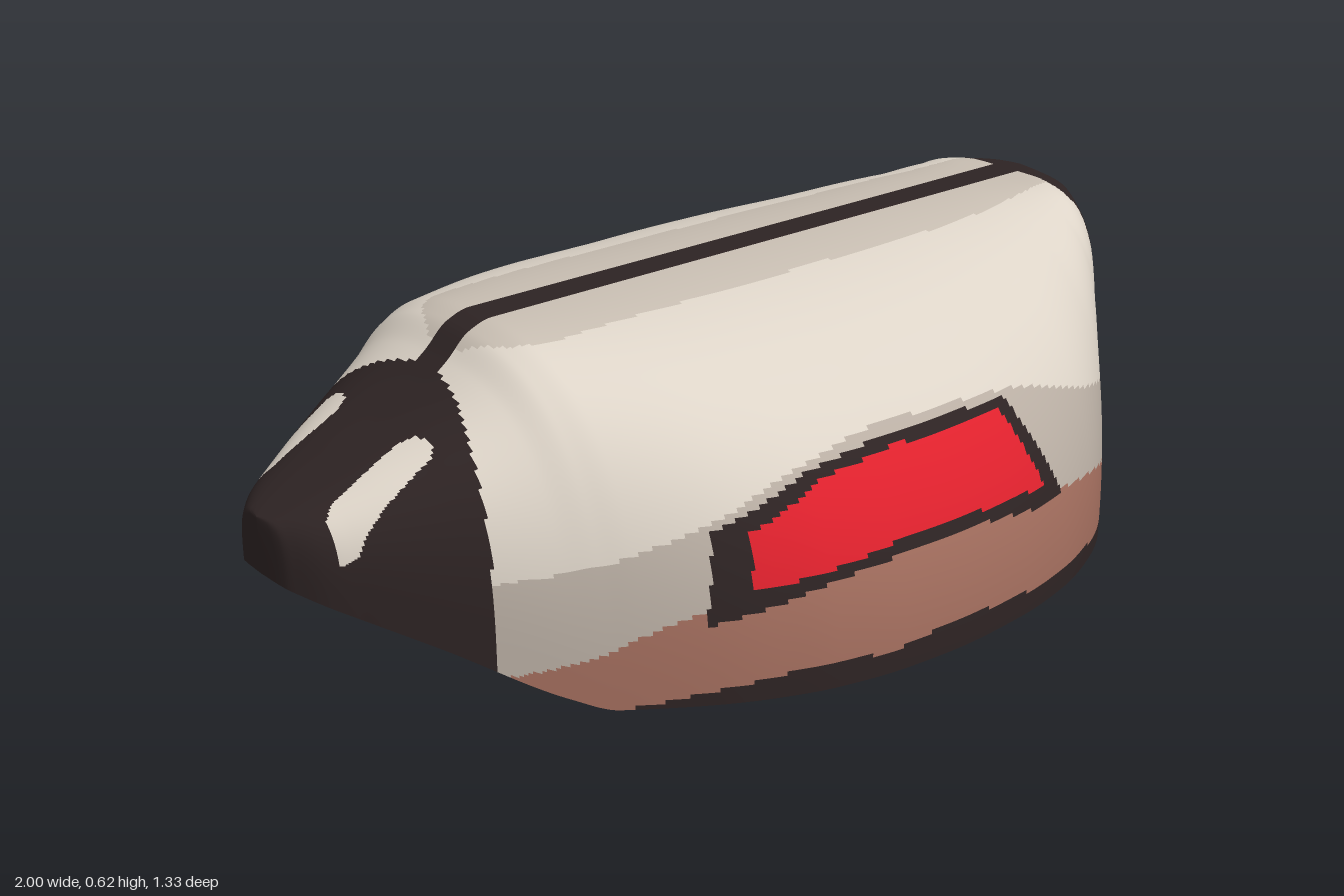
import * as THREE from 'three';

// Smooth curve without overshoot through [x, value] points
function curve(points) {
  const n = points.length;
  const rise = points.slice(1).map((p, i) => (p[1] - points[i][1]) / (p[0] - points[i][0]));
  const slope = points.map((p, i) => {
    if (i === 0) return rise[0];
    if (i === n - 1) return rise[n - 2];
    const a = rise[i - 1], b = rise[i];
    return a * b <= 0 ? 0 : (2 * a * b) / (a + b);
  });
  return (x) => {
    if (x <= points[0][0]) return points[0][1];
    if (x >= points[n - 1][0]) return points[n - 1][1];
    let i = 0;
    while (x > points[i + 1][0]) i++;
    const h = points[i + 1][0] - points[i][0], t = (x - points[i][0]) / h, s = 1 - t;
    return points[i][1] * (1 + 2 * t) * s * s + slope[i] * h * t * s * s
      + points[i + 1][1] * t * t * (3 - 2 * t) - slope[i + 1] * h * t * t * s;
  };
}

// Hull form along the length: half width, lower rim, roof line and squareness of the arch
const width = curve([[-1, 0], [-0.995, 0.065], [-0.98, 0.095], [-0.95, 0.135], [-0.9, 0.177], [-0.72, 0.31],
  [-0.4, 0.537], [-0.3, 0.588], [-0.2, 0.626], [-0.05, 0.657], [0.1, 0.667], [0.25, 0.659], [0.4, 0.632],
  [0.55, 0.575], [0.7, 0.475], [0.8, 0.375], [0.88, 0.277], [0.94, 0.205], [0.98, 0.135], [0.995, 0.07], [1, 0]]);
const rim = curve([[-1, 0.25], [-0.8, 0.135], [-0.62, 0.025], [-0.55, 0], [1, 0]]);
const roof = curve([[-1, 0.36], [-0.85, 0.43], [-0.7, 0.505], [-0.62, 0.56], [-0.57, 0.605], [-0.52, 0.62], [1, 0.62]]);
const squareness = curve([[-1, 3.3], [-0.75, 3.2], [-0.55, 2.6], [-0.35, 2.45], [0, 2.2], [0.4, 2.2], [0.7, 2.6],
  [0.82, 3.5], [0.9, 5], [1, 5]]);
// How far the tail is set forward at each height
const tailSet = curve([[0, 0.19], [0.04, 0.16], [0.145, 0.095], [0.31, 0.04], [0.49, 0], [0.59, 0.03], [0.62, 0.075]]);

// Limits of the painted zones
const noseEdge = curve([[0.04, -0.64], [0.12, -0.66], [0.2, -0.69], [0.3, -0.72]]);
const rimTop = curve([[-0.55, 0], [-0.4, 0.03], [-0.2, 0.055], [-0.1, 0.045], [0.05, 0.06], [0.3, 0.045],
  [0.6, 0.035], [0.8, 0]]);
const brownTop = curve([[-0.72, 0.07], [-0.6, 0.1], [-0.5, 0.15], [-0.4, 0.19], [-0.2, 0.22], [0, 0.24],
  [0.2, 0.23], [0.4, 0.205], [0.6, 0.17], [0.75, 0.12], [0.88, 0.1]]);
const shadeTop = curve([[-0.75, 0.25], [-0.6, 0.27], [-0.42, 0.325], [-0.2, 0.4], [0, 0.425], [0.3, 0.41],
  [0.6, 0.33], [0.88, 0.25]]);
const roofStrip = curve([[-0.6, 0.05], [-0.55, 0.14], [-0.48, 0.17], [0.5, 0.165], [0.88, 0.12]]);
const tailStart = curve([[0, 0.78], [0.1, 0.825], [0.3, 0.85], [0.5, 0.865], [0.6, 0.88]]);
const tailFrame = curve([[0, 0.19], [0.05, 0.235], [0.15, 0.265], [0.3, 0.28], [0.45, 0.27], [0.53, 0.24],
  [0.59, 0.19], [0.615, 0.25]]);
const tailPanel = curve([[0.02, 0.08], [0.08, 0.165], [0.15, 0.205], [0.3, 0.23], [0.45, 0.215], [0.55, 0.165], [0.605, 0.07]]);
const tailSeam = curve([[0.02, 0.11], [0.07, 0.06], [0.15, 0.04], [0.6, 0.04]]);

// Point inside a polygon given as corners
function inside(poly, x, y) {
  let hit = false;
  poly.forEach(([ax, ay], i) => {
    const [bx, by] = poly[(i + 1) % poly.length];
    if ((ay > y) !== (by > y) && x < ax + ((y - ay) * (bx - ax)) / (by - ay)) hit = !hit;
  });
  return hit;
}
const sideFrame = [[-0.42, 0.155], [-0.395, 0.32], [-0.2, 0.39], [0, 0.41], [0.31, 0.4], [0.41, 0.195],
  [0.3, 0.2], [0.15, 0.22], [0, 0.225], [-0.2, 0.205], [-0.35, 0.17]];
const sidePanel = [[-0.34, 0.21], [-0.335, 0.31], [-0.17, 0.375], [0, 0.39], [0.285, 0.385], [0.35, 0.23],
  [0.2, 0.24], [0, 0.25], [-0.2, 0.225]];
const eye = [[-0.93, 0.115], [-0.93, 0.15], [-0.9, 0.168], [-0.75, 0.172], [-0.735, 0.155], [-0.74, 0.115],
  [-0.77, 0.098], [-0.91, 0.1]]; // in x and |z|

// Which part a spot on the hull belongs to
function partAt(x, y, z, onStripe) {
  if (x < noseEdge(z)) return y > 0.3 && inside(eye, x, z) ? 'eyes' : 'nose';
  if (x > tailStart(y) && z < tailFrame(y)) {
    const red = y > 0.025 && y < 0.605 && z < tailPanel(y) && z > tailSeam(y) && !onStripe;
    return red ? 'tailPanels' : 'tailFrame';
  }
  if (onStripe) return 'roofStripe';
  if (inside(sidePanel, x, y)) return 'sidePanels';
  if (inside(sideFrame, x, y)) return 'sideFrames';
  if (y < rimTop(x)) return 'lowerRim';
  if (y < brownTop(x)) return 'lowerHull';
  if (y < shadeTop(x)) return 'middleHull';
  if (x > -0.6 && y > 0.5 && z < roofStrip(x)) return 'roofStrip';
  return 'upperHull';
}

export function createModel() {
  const paint = (name, color) => {
    const m = new THREE.MeshStandardMaterial({ color, side: THREE.DoubleSide });
    m.name = name;
    return m;
  };
  const beige = paint('light beige', 0xddd4c8), shade = paint('grey beige', 0xbaafa4);
  const strip = paint('mid beige', 0xc8beb2), brown = paint('brown', 0xa36e5e);
  const dark = paint('near black', 0x2d2323), red = paint('red', 0xe0212d);
  const materials = {
    upperHull: beige, eyes: beige, middleHull: shade, roofStrip: strip, lowerHull: brown,
    lowerRim: dark, nose: dark, roofStripe: dark, sideFrames: dark, tailFrame: dark,
    sidePanels: red, tailPanels: red,
  };

  // Arched sections from nose to tail, with columns running along the stripe edges
  const rows = 310, sideCols = 110, stripeCols = 8, cols = 2 * sideCols + stripeCols;
  const pos = [];
  for (let i = 0; i <= rows; i++) {
    const t = i / rows, s = t - 0.5 - 0.5 * Math.cos(Math.PI * t);
    const w = width(s), lo = rim(s), hi = roof(s), n = squareness(s);
    const q = Math.min(0.5, 0.035 / Math.max(w, 0.001));
    const edge = Math.atan2(Math.pow(1 - Math.pow(q, n), 1 / n), q);
    const lean = Math.pow(Math.max(0, (s - 0.6) / 0.4), 2);
    for (let j = 0; j <= cols; j++) {
      const k = Math.min(j, cols - j); // mirrored column
      const a = k <= sideCols ? (edge * k) / sideCols
        : edge + ((Math.PI / 2 - edge) * (k - sideCols)) / (stripeCols / 2);
      const ca = Math.max(0, Math.cos(a)), sa = Math.sin(a);
      const r = Math.pow(Math.pow(ca, n) + Math.pow(sa, n), -1 / n);
      const y = lo + (hi - lo) * sa * r;
      pos.push(s - lean * tailSet(y), y, (j <= cols / 2 ? 1 : -1) * w * ca * r);
    }
  }

  // Sort the faces into the painted parts
  const faces = Object.fromEntries(Object.keys(materials).map((name) => [name, []]));
  const all = [];
  for (let i = 0; i < rows; i++) {
    for (let j = 0; j < cols; j++) {
      const a = i * (cols + 1) + j, b = a + cols + 1;
      const mid = (k) => (pos[3 * a + k] + pos[3 * b + k] + pos[3 * a + 3 + k] + pos[3 * b + 3 + k]) / 4;
      const onStripe = j >= sideCols && j < sideCols + stripeCols;
      const quad = [a, b, a + 1, b, b + 1, a + 1];
      faces[partAt(mid(0), mid(1), Math.abs(mid(2)), onStripe)].push(...quad);
      all.push(...quad);
    }
  }
  const hull = new THREE.BufferGeometry();
  hull.setAttribute('position', new THREE.Float32BufferAttribute(pos, 3));
  hull.setIndex(all);
  hull.computeVertexNormals();

  // One mesh per part, all sharing the smooth hull surface
  const group = new THREE.Group();
  group.name = 'openShell';
  for (const [name, index] of Object.entries(faces)) {
    const part = new THREE.BufferGeometry();
    part.setAttribute('position', hull.getAttribute('position'));
    part.setAttribute('normal', hull.getAttribute('normal'));
    part.setIndex(index);
    const mesh = new THREE.Mesh(part, materials[name]);
    mesh.name = name;
    group.add(mesh);
  }
  return group;
}
